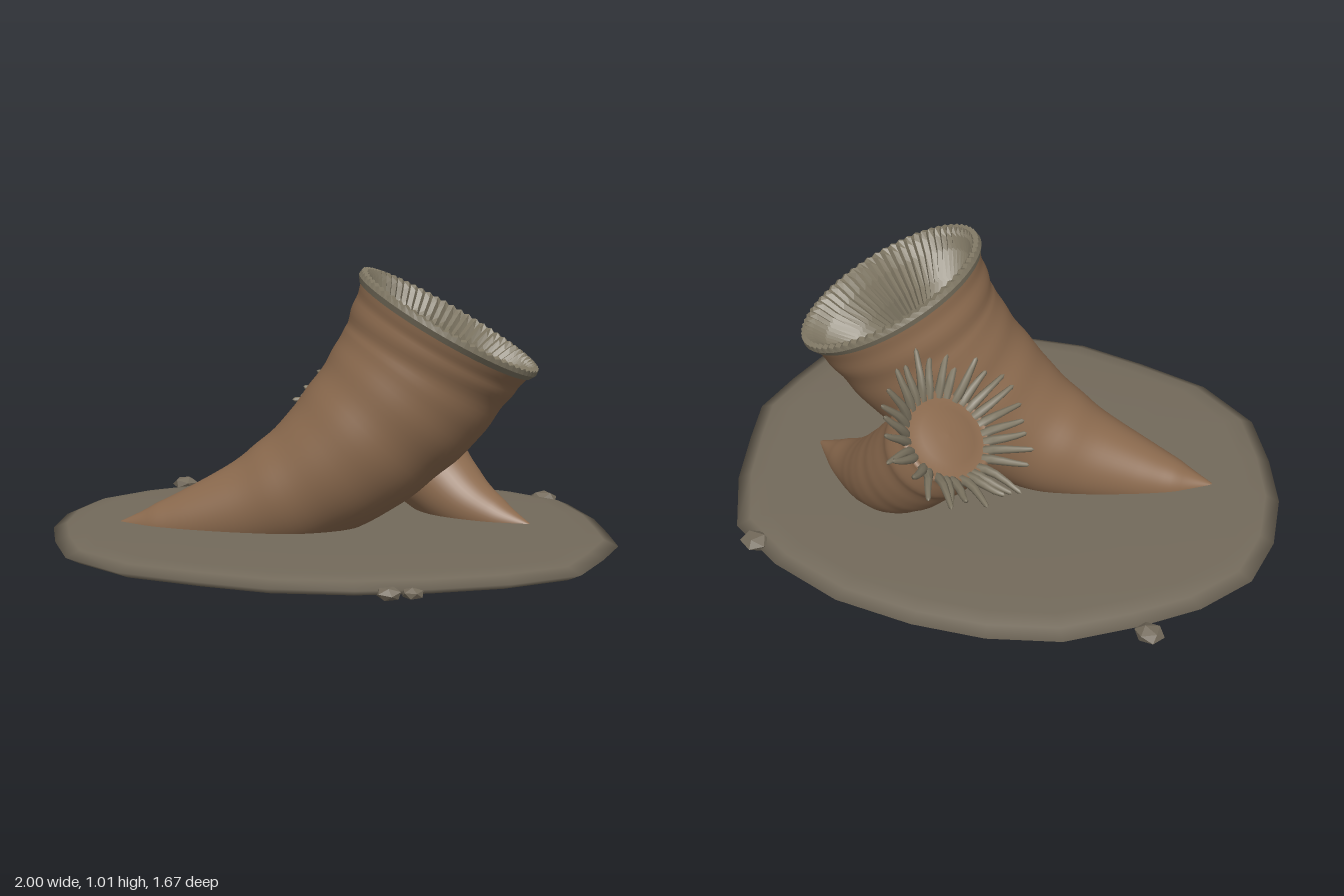
import * as THREE from 'three';

const V = (x, y, z) => new THREE.Vector3(x, y, z);

// Closed-around surface: rows go from bottom/outside to top/inside
function grid(rows, cols, point, flat = false) {
  const pos = [], index = [];
  for (let i = 0; i < rows; i++) for (let j = 0; j < cols; j++) pos.push(...point(i, j).toArray());
  for (let i = 0; i < rows - 1; i++) for (let j = 0; j < cols; j++) {
    const k = (j + 1) % cols;
    const a = i * cols + j, b = i * cols + k, c = a + cols, d = b + cols;
    index.push(a, b, c, b, d, c);
  }
  let g = new THREE.BufferGeometry();
  g.setAttribute('position', new THREE.Float32BufferAttribute(pos, 3));
  g.setIndex(index);
  if (flat) g = g.toNonIndexed();
  g.computeVertexNormals();
  return g;
}

// Cross-section frame: t along the axis, u and v across it
function frameAt(origin, tangent) {
  const t = tangent.clone().normalize();
  const v = V(0, 0, 1).addScaledVector(t, -t.z).normalize();
  return { origin, t, v, u: v.clone().cross(t) };
}
const place = (f, r, a, h = 0) => f.origin.clone()
  .addScaledVector(f.u, r * Math.cos(a)).addScaledVector(f.v, r * Math.sin(a)).addScaledVector(f.t, h);

// Horn swept through [x, y, z, radius] stations, with faint growth rings
function horn(stations, cols, ridge) {
  const path = new THREE.CatmullRomCurve3(stations.map(s => V(s[0], s[1], s[2])));
  const radii = new THREE.CatmullRomCurve3(stations.map(s => V(s[3], 0, 0)));
  const rows = 60;
  const geometry = grid(rows, cols, (i, j) => {
    const s = i / (rows - 1), a = j / cols * Math.PI * 2;
    const f = frameAt(path.getPoint(s), path.getTangent(s));
    const wave = Math.sin(s * 38) + 0.6 * Math.sin(s * 67 + 1);
    return place(f, Math.max(0.002, radii.getPoint(s).x) * (1 + ridge * wave * Math.min(1, s * 2)), a);
  });
  return { geometry, end: frameAt(path.getPoint(1), path.getTangent(1)) };
}

export function createModel() {
  const model = new THREE.Group();
  const mat = (name, color) => {
    const m = new THREE.MeshStandardMaterial({ color });
    m.name = name;
    return m;
  };
  const brown = mat('coralBrown', 0x8b6a4e);
  const stone = mat('seabedStone', 0x736a5b);
  const septa = mat('septaGrey', 0x7d7562);
  const add = (name, geometry, material, parent = model) => {
    const m = new THREE.Mesh(geometry, material);
    m.name = name;
    parent.add(m);
    return m;
  };
  let seed = 7;
  const rand = () => (seed = (seed * 16807) % 2147483647) / 2147483647;

  // Seabed slab with an irregular thin edge
  const outline = [
    [0, -.84], [.28, -.83], [.55, -.75], [.76, -.63], [.88, -.4], [.95, -.18], [1, 0], [.97, .2],
    [.92, .42], [.73, .58], [.5, .7], [.27, .78], [0, .82], [-.25, .79], [-.52, .74], [-.75, .6],
    [-.87, .4], [-.96, .2], [-1, -.02], [-.98, -.23], [-.86, -.42], [-.7, -.57], [-.49, -.73], [-.25, -.81]];
  const slab = [[0, .062], [.5, .062], [.88, .065], [.95, .073], [1, .097], [.95, .118], [.88, .127], [.5, .13], [0, .13]];
  add('seabed', grid(slab.length, outline.length, (i, j) => {
    const [x, z] = outline[(outline.length - j) % outline.length];
    return V(x * slab[i][0], slab[i][1], z * slab[i][0]);
  }), stone);

  // Large horn coral
  const large = horn([
    [-.73, .12, .17, .003], [-.59, .115, .15, .08], [-.41, .145, .12, .135], [-.18, .22, .075, .195],
    [.02, .345, .035, .24], [.18, .5, -.01, .278], [.29, .64, -.045, .3], [.355, .755, -.06, .315],
    [.4, .835, -.065, .34]], 64, .009);
  add('largeHorn', large.geometry, brown);

  // Pleated cup with a toothed rim
  const cup = [[.338, -.025], [.35, -.005], [.347, .012], [.33, .016], [.312, -.005], [.285, -.05],
    [.215, -.13], [.12, -.21], [.04, -.265], [0, -.275]];
  const pleats = 128;
  add('largeCup', grid(cup.length, pleats, (i, j) => {
    const [r, h] = cup[i], tooth = j % 2 ? 1 : -1;
    const depth = i < 2 ? 0 : i < 4 ? .004 : .009 * Math.min(1, r / .2);
    return place(large.end, r, j / pleats * Math.PI * 2, h + tooth * depth);
  }, true), septa);

  // Small horn coral leaning away behind it
  const small = horn([
    [.69, .12, -.13, .003], [.56, .13, -.185, .07], [.43, .17, -.25, .115], [.31, .25, -.32, .148],
    [.2, .36, -.375, .165], [.11, .475, -.415, .168], [.04, .565, -.435, .168]], 40, .006);
  add('smallHorn', small.geometry, brown);

  // Domed mouth disc closing the small horn
  const mouth = [[.168, 0], [.165, .01], [.152, .012], [.14, .002], [.1, .014], [.05, .02], [0, .022]];
  add('mouthDisc', grid(mouth.length, 40, (i, j) =>
    place(small.end, mouth[i][0], j / 40 * Math.PI * 2, mouth[i][1])), brown);

  // Ring of curled, tapering tentacles
  const tentacles = new THREE.Group();
  tentacles.name = 'tentacles';
  model.add(tentacles);
  const count = 30;
  for (let k = 0; k < count; k++) {
    const a = (k + rand() * .4) / count * Math.PI * 2;
    const reach = .255 + .05 * rand(), lift = .06 + .05 * rand(), bend = (rand() - .5) * .2;
    const curve = new THREE.CatmullRomCurve3([
      place(small.end, .148, a, -.005),
      place(small.end, .18, a, lift * .35),
      place(small.end, .225, a + bend * .4, lift * .65),
      place(small.end, reach, a + bend, lift)]);
    const rows = [0, .25, .5, .75, .95, 1], thick = [.017, .016, .014, .011, .008, 0];
    add('tentacle', grid(6, 7, (i, j) =>
      place(frameAt(curve.getPoint(rows[i]), curve.getTangent(rows[i])), thick[i], j / 7 * Math.PI * 2)),
    septa, tentacles);
  }

  // Loose pebbles around the edge
  [[.66, .105, -.68, .055], [-.74, .11, -.6, .052], [.38, .102, .8, .042], [.45, .102, .78, .037]]
    .forEach(([x, y, z, r], i) => {
      const g = new THREE.IcosahedronGeometry(r, 0);
      g.rotateX(i * 1.3 + .4).rotateZ(i * .7).scale(1, .55, .85);
      g.computeVertexNormals();
      add('pebble', g, stone).position.set(x, y, z);
    });

  return model;
}
